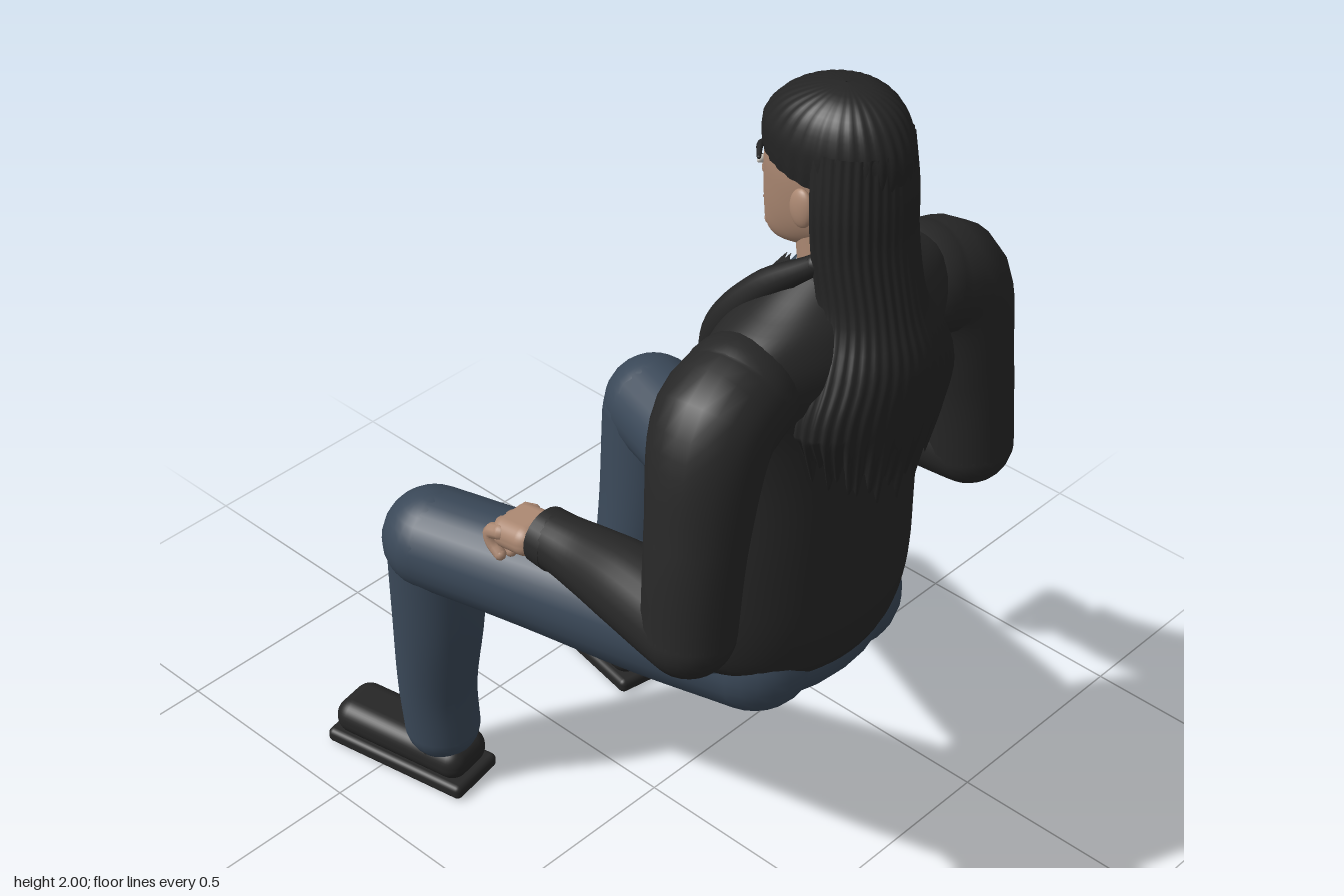
import * as THREE from 'three';
import { mergeVertices, mergeGeometries } from 'three/addons/utils/BufferGeometryUtils.js';
import { RoundedBoxGeometry } from 'three/addons/geometries/RoundedBoxGeometry.js';

const V = (p) => new THREE.Vector3(...p);
const mat = (name, color, side = THREE.FrontSide) => {
  const m = new THREE.MeshStandardMaterial({ color, side });
  m.name = name;
  return m;
};

// Smoothly resample rows of [y, half width, z back, z front, opening, front lift]
function dense(rows, n = 4) {
  const out = [], count = (rows.length - 1) * n;
  const curves = rows[0].map((_, c) => new THREE.SplineCurve(rows.map((r) => new THREE.Vector2(r[0], r[c]))));
  for (let i = 0; i <= count; i++) out.push(curves.map((c) => c.getPoint(i / count).y));
  return out;
}

// Skin through horizontal elliptical rows (bottom to top); angle 0 points to the back (+z)
function loft(rows, { span = () => [-Math.PI, Math.PI], segs = 48, ripple = 0, waves = 30, grow = 0, jag } = {}) {
  const pos = [], idx = [], list = dense(rows);
  list.forEach((row, i) => {
    const [y, rx, zb, zf, , lift = 0] = row;
    const [a0, a1] = span(row);
    for (let j = 0; j <= segs; j++) {
      const a = a0 + (a1 - a0) * j / segs;
      const k = 1 + ripple * Math.cos(a * waves);
      const x = (rx + grow) * k * Math.sin(a);
      const z = (zb + zf) / 2 + ((zb - zf) / 2 + grow) * k * Math.cos(a);
      pos.push(x, y + lift * (zb - z) + (jag ? jag(x, j, i / (list.length - 1)) : 0), z);
      if (i && j) {
        const d = i * (segs + 1) + j, c = d - 1, b = d - segs - 1, e = b - 1;
        idx.push(e, b, d, e, d, c);
      }
    }
  });
  let g = new THREE.BufferGeometry();
  g.setAttribute('position', new THREE.Float32BufferAttribute(pos, 3));
  g.setIndex(idx);
  g = mergeVertices(g, 1e-5);
  g.computeVertexNormals();
  return g;
}

// Rounded limb along points [x, y, z, radius]
function limb(pts, n = 20, segs = 24) {
  const curve = new THREE.CatmullRomCurve3(pts.map((p) => V(p.slice(0, 3))));
  const radii = new THREE.SplineCurve(pts.map((p, i) => new THREE.Vector2(i, p[3])));
  const tube = new THREE.TubeGeometry(curve, n, 1, segs);
  const pos = tube.attributes.position, v = new THREE.Vector3();
  for (let i = 0; i <= n; i++) {
    const c = curve.getPointAt(i / n), r = radii.getPoint(curve.getUtoTmapping(i / n)).y;
    for (let j = 0; j <= segs; j++) {
      const k = i * (segs + 1) + j;
      v.fromBufferAttribute(pos, k).sub(c).multiplyScalar(r).add(c);
      pos.setXYZ(k, v.x, v.y, v.z);
    }
  }
  const balls = [pts[0], pts[pts.length - 1]].map((p) => new THREE.SphereGeometry(p[3], segs, 16).translate(p[0], p[1], p[2]));
  return mergeGeometries([tube, ...balls]);
}

const TORSO = [
  [0.70, 0.22, 0.52, 0.18, 0.19, 0.18], [0.75, 0.28, 0.55, 0.16, 0.19, 0.13], [0.85, 0.30, 0.567, 0.145, 0.19, 0.06],
  [1.00, 0.292, 0.575, 0.15, 0.165, 0], [1.20, 0.265, 0.585, 0.215, 0.125, 0], [1.35, 0.275, 0.595, 0.245, 0.10, 0],
  [1.48, 0.31, 0.60, 0.295, 0.085, 0], [1.55, 0.28, 0.58, 0.335, 0.075, 0], [1.60, 0.18, 0.555, 0.37, 0.065, 0],
  [1.64, 0.10, 0.53, 0.395, 0.055, 0],
];

// z of the chest surface at (x, y)
function chestZ(x, y) {
  const i = Math.max(1, TORSO.findIndex((r) => r[0] >= y));
  const a = TORSO[i - 1], b = TORSO[i], t = (y - a[0]) / (b[0] - a[0]);
  const [rx, zb, zf] = [1, 2, 3].map((c) => a[c] + (b[c] - a[c]) * t);
  return (zb + zf) / 2 - (zb - zf) / 2 * Math.sqrt(Math.max(0, 1 - (x / rx) ** 2));
}

export function createModel() {
  const model = new THREE.Group();
  const jacket = mat('jacket black', 0x272727, THREE.DoubleSide);
  const hair = mat('hair black', 0x242424, THREE.DoubleSide);
  const denim = mat('denim blue', 0x3a4858);
  const shirt = mat('shirt blue', 0x394857);
  const skin = mat('skin', 0xab8872);
  const shoe = mat('shoe black', 0x262626);
  const lip = mat('lip', 0x85604f);
  const white = mat('eye white', 0xc9c4bc);
  const dark = mat('cord black', 0x181818);
  const add = (name, geo, m, p = [0, 0, 0], parent = model) => {
    const mesh = new THREE.Mesh(geo, m);
    mesh.name = name;
    mesh.position.set(...p);
    parent.add(mesh);
    return mesh;
  };
  const ball = (name, m, p, s) => add(name, new THREE.SphereGeometry(1, 24, 16), m, p).scale.set(...s);

  // Torso: shirt with an open jacket over it
  const edge = (r) => Math.PI - Math.asin(Math.min(1, r[4] / r[1]));
  add('shirt', loft(TORSO.map((r) => [...r.slice(0, 5), 0]), { grow: -0.008 }), shirt);
  add('jacket', loft(TORSO, { span: (r) => [-edge(r), edge(r)], grow: 0.004 }), jacket);
  for (const s of [-1, 1]) {
    const range = (r) => {
      const w = 0.12 + 0.4 * Math.max(0, (r[0] - 1.3) / 0.34);
      return s > 0 ? [edge(r) - w, edge(r) + 0.02] : [-edge(r) - 0.02, -edge(r) + w];
    };
    add('lapel', loft(TORSO.slice(4), { span: range, grow: 0.012, segs: 10 }), jacket);
  }
  add('collar', loft([[1.58, 0.15, 0.57, 0.4], [1.62, 0.115, 0.555, 0.39], [1.65, 0.10, 0.54, 0.385]],
    { span: () => [-2.3, 2.3] }), jacket);

  // Pelvis
  ball('pelvis', denim, [0, 0.725, 0.36], [0.27, 0.127, 0.185]);

  for (const s of [-1, 1]) {
    const side = s > 0 ? 'left' : 'right';
    const m = (pts) => pts.map(([x, ...rest]) => [x * s, ...rest]);
    // The foot on -x stands a little further forward
    const dz = s < 0 ? -0.04 : 0, dx = s < 0 ? 0.015 : 0;

    // Leg
    add(side + 'Thigh', limb(m([[0.13, 0.735, 0.40, 0.13], [0.19, 0.735, 0.17, 0.132],
      [0.27, 0.735, -0.1, 0.116], [0.333, 0.738, -0.318, 0.112]])), denim);
    add(side + 'Shin', limb(m([[0.325, 0.72, -0.325, 0.105], [0.305 + dx / 2, 0.5, -0.325 + dz / 2, 0.1],
      [0.28 + dx, 0.28, -0.34 + dz, 0.088], [0.268 + dx, 0.15, -0.345 + dz, 0.085]])), denim);

    // Shoe
    const foot = new THREE.Group();
    foot.name = side + 'Shoe';
    foot.position.set(s * (0.282 + dx), 0, -0.44 + dz);
    foot.rotation.y = -s * 0.18;
    model.add(foot);
    add('sole', new RoundedBoxGeometry(0.15, 0.036, 0.375, 3, 0.014), shoe, [0, 0.018, 0], foot);
    add('upper', new RoundedBoxGeometry(0.136, 0.085, 0.355, 5, 0.04), shoe, [0, 0.07, 0], foot);
    add('ankleCollar', new THREE.CylinderGeometry(0.062, 0.066, 0.07, 24), shoe, [0, 0.095, 0.09], foot);

    // Sleeve
    add(side + 'UpperSleeve', limb(m([[0.26, 1.46, 0.46, 0.115], [0.335, 1.43, 0.47, 0.117], [0.39, 1.22, 0.48, 0.1],
      [0.418, 1.005, 0.487, 0.093]])), jacket);
    add(side + 'Forearm', limb(m([[0.418, 1.005, 0.487, 0.093], [0.395, 1.0, 0.32, 0.086],
      [0.375, 0.98, 0.18, 0.071], [0.37, 0.972, 0.09, 0.061]])), jacket);
    const cuff = add(side + 'Cuff', new THREE.CylinderGeometry(0.061, 0.063, 0.04, 24), jacket, [s * 0.37, 0.97, 0.075]);
    cuff.rotation.x = -Math.PI / 2;

    // Hand
    const palm = add(side + 'Palm', new RoundedBoxGeometry(0.115, 0.066, 0.11, 4, 0.03), skin, [s * 0.37, 0.952, 0.0]);
    palm.rotation.x = -0.15;
    for (let i = 0; i < 4; i++) {
      const x = 0.325 + i * 0.03, low = 0.875 + i * 0.008;
      add(side + 'Finger', limb(m([[x, 0.958, -0.025, 0.017], [x, 0.945, -0.053, 0.017],
        [x, low + 0.02, -0.05, 0.015], [x, low, -0.03, 0.013]]), 10, 10), skin);
    }
    add(side + 'Thumb', limb(m([[0.325, 0.945, 0.03, 0.02], [0.308, 0.915, -0.01, 0.017], [0.312, 0.88, -0.045, 0.013]]), 10, 10), skin);

    // Ear, eye and brow
    ball(side + 'Ear', skin, [s * 0.108, 1.785, 0.465], [0.014, 0.04, 0.026]);
    ball(side + 'Eye', white, [s * 0.039, 1.797, 0.3125], [0.017, 0.008, 0.006]);
    ball(side + 'Pupil', dark, [s * 0.039, 1.797, 0.3085], [0.007, 0.007, 0.004]);
    add(side + 'Brow', limb(m([[0.018, 1.818, 0.304, 0.006], [0.042, 1.826, 0.307, 0.007], [0.07, 1.818, 0.328, 0.004]]), 10, 8), hair);

    // Lock of hair falling in front of the shoulder
    const path = [[0.105, 1.68, 0.5], [0.14, 1.6], [0.17, 1.5], [0.185, 1.37]];
    add(side + 'Lock', limb(path.map(([x, y, z], i) =>
      [x * s, y, z ?? chestZ(x, y) - 0.004, [0.02, 0.032, 0.03, 0.008][i]]), 20, 10), hair);
  }

  // Head
  add('neck', limb([[0, 1.56, 0.475, 0.08], [0, 1.63, 0.462, 0.073], [0, 1.72, 0.455, 0.075]]), skin);
  add('head', loft([
    [1.64, 0.001, 0.36, 0.345], [1.645, 0.035, 0.39, 0.318], [1.67, 0.064, 0.47, 0.304], [1.72, 0.086, 0.54, 0.303],
    [1.78, 0.098, 0.565, 0.304], [1.84, 0.103, 0.57, 0.308], [1.90, 0.10, 0.57, 0.33], [1.95, 0.07, 0.54, 0.38], [1.97, 0.001, 0.46, 0.455],
  ]), skin);
  add('nose', limb([[0, 1.808, 0.307, 0.009], [0, 1.775, 0.297, 0.011], [0, 1.752, 0.294, 0.015]], 10, 12), skin);
  ball('nostrils', skin, [0, 1.748, 0.304], [0.021, 0.01, 0.014]);
  ball('upperLip', lip, [0, 1.704, 0.3035], [0.027, 0.006, 0.007]);
  ball('lowerLip', lip, [0, 1.692, 0.304], [0.023, 0.007, 0.007]);
  ball('chin', skin, [0, 1.662, 0.318], [0.033, 0.02, 0.018]);

  // Combed hair over the skull and the long fall down the back
  add('hairCap', loft([
    [1.82, 0.112, 0.60, 0.306, 0, 0.11], [1.86, 0.115, 0.608, 0.303, 0, 0.07], [1.91, 0.113, 0.603, 0.31, 0, 0.02],
    [1.96, 0.094, 0.575, 0.35, 0, 0], [1.99, 0.055, 0.53, 0.41, 0, 0], [2.0, 0.001, 0.47, 0.465, 0, 0],
  ], { segs: 144, ripple: 0.012 }), hair);
  add('hairFall', loft([
    [1.20, 0.17, 0.635, 0.46], [1.30, 0.20, 0.655, 0.45], [1.40, 0.205, 0.668, 0.44], [1.49, 0.165, 0.668, 0.43],
    [1.58, 0.122, 0.64, 0.42], [1.70, 0.12, 0.615, 0.40], [1.80, 0.121, 0.61, 0.39], [1.91, 0.108, 0.6, 0.38],
  ], {
    span: () => [-1.65, 1.65], segs: 120, ripple: 0.014, waves: 40,
    jag: (x, j, t) => Math.max(0, 1 - t * 4) * (0.13 * (x / 0.2) ** 2 + 0.022 * Math.sin(j * 0.5) + 0.016 * Math.sin(j * 1.13)),
  }), hair);

  // Cord necklace with a pendant
  const cord = [[-0.075, 1.6], [-0.075, 1.48], [-0.06, 1.34], [-0.03, 1.24], [0, 1.205], [0.03, 1.24], [0.06, 1.34], [0.075, 1.48], [0.075, 1.6]]
    .map(([x, y]) => V([x, y, chestZ(x, y) - 0.002]));
  add('necklace', new THREE.TubeGeometry(new THREE.CatmullRomCurve3(cord), 60, 0.007, 8), dark);
  add('pendant', limb([[0, 1.2, 0.207, 0.007], [0, 1.165, 0.197, 0.01], [0, 1.13, 0.19, 0.012]], 8, 10), dark);

  return model;
}
